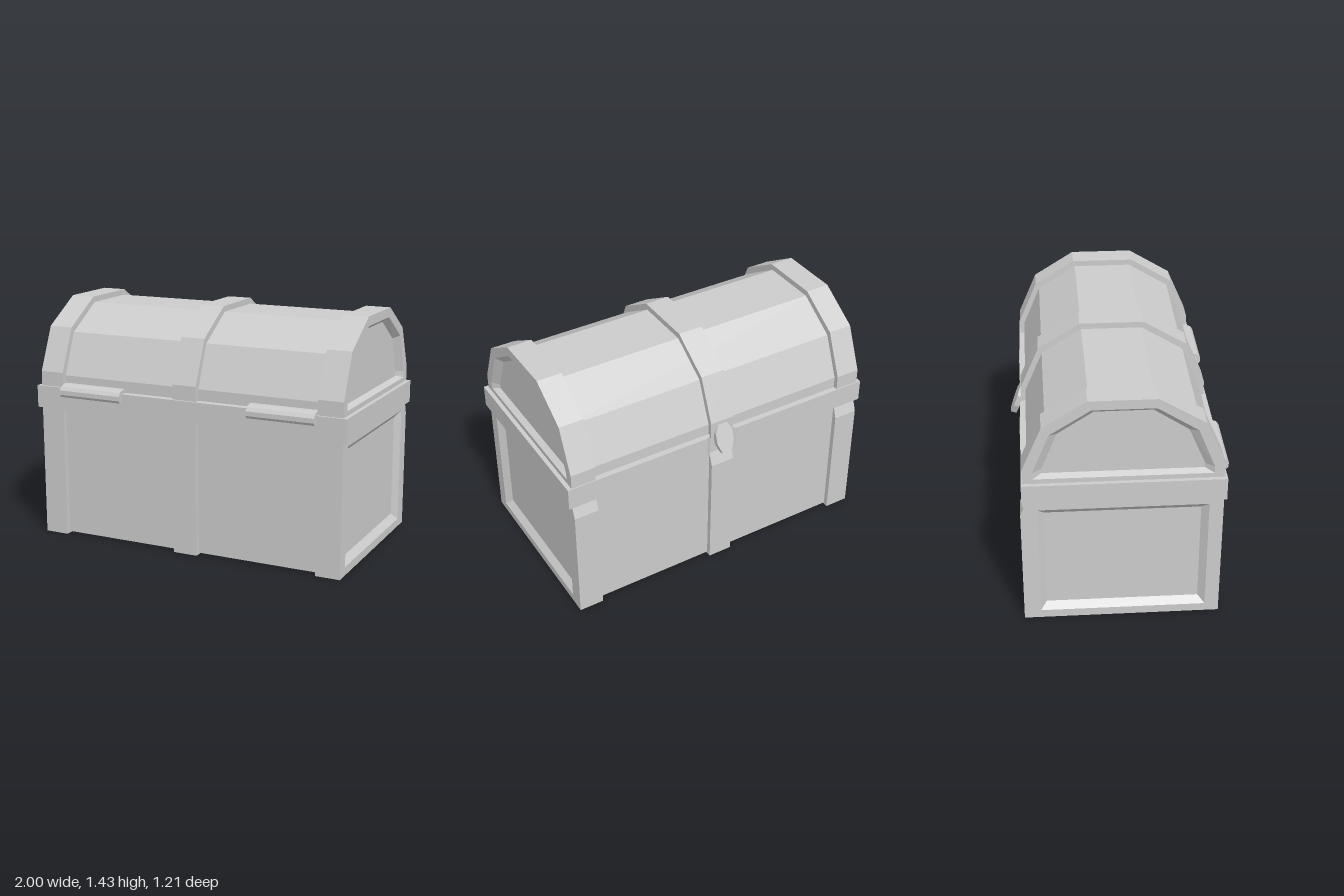
import * as THREE from 'three';

const material = new THREE.MeshStandardMaterial({ color: 0xcccccc, flatShading: true });

// Profiles are lists of [z, y], running from the front bottom over the top to the back bottom.
const BODY_CORE = [[0.535, 0.01], [0.535, 0.8], [-0.53, 0.8], [-0.53, 0.01]];
const BODY_BAND = [[0.565, 0], [0.565, 0.8], [-0.532, 0.8], [-0.56, 0.72], [-0.56, 0]];
const BODY_RECESS = [[0.485, 0.05], [0.485, 0.755], [-0.465, 0.755], [-0.465, 0.05]];
const BODY_PANEL = [[0.445, 0.09], [0.445, 0.715], [-0.43, 0.715], [-0.43, 0.09]];
const LID_CORE = [[0.53, 0.92], [0.53, 1.0], [0.425, 1.25], [0.18, 1.4],
  [-0.175, 1.4], [-0.41, 1.25], [-0.515, 1.0], [-0.515, 0.92]];
const LID_BAND = [[0.563, 0.92], [0.563, 1.02], [0.45, 1.28], [0.193, 1.435],
  [-0.185, 1.435], [-0.432, 1.28], [-0.543, 1.02], [-0.543, 0.92]];
const LID_RECESS = [[0.505, 0.96], [0.505, 1.0], [0.41, 1.235], [0.185, 1.38],
  [-0.165, 1.38], [-0.392, 1.235], [-0.487, 1.0], [-0.487, 0.96]];
const LID_PANEL = [[0.455, 0.977], [0.455, 1.005], [0.363, 1.222], [0.168, 1.352],
  [-0.15, 1.352], [-0.348, 1.222], [-0.435, 1.005], [-0.435, 0.977]];
const END = 0.975;    // outer face of the end bands
const FLOOR = 0.94;   // sunken face of the end panels

function part(parent, name, geometry) {
  const mesh = new THREE.Mesh(geometry, material);
  mesh.name = name;
  parent.add(mesh);
  return mesh;
}

// Extrude a [z, y] profile along x.
function slab(profile, x0, x1, hole) {
  const points = (p) => p.map(([z, y]) => new THREE.Vector2(-z, y));
  const shape = new THREE.Shape(points(profile));
  if (hole) shape.holes.push(new THREE.Path(points(hole)));
  return new THREE.ExtrudeGeometry(shape, { depth: x1 - x0, bevelEnabled: false })
    .translate(0, 0, x0)
    .rotateY(Math.PI / 2);
}

// Sloping walls between the opening of a recess and its floor.
function recessWalls(outer, inner, side) {
  const pos = [];
  const n = outer.length;
  for (let i = 0; i < n; i++) {
    const j = (i + 1) % n;
    const o = (k) => [side * END, outer[k][1], outer[k][0]];
    const p = (k) => [side * FLOOR, inner[k][1], inner[k][0]];
    const quad = [o(i), p(i), p(j), o(i), p(j), o(j)];
    if (side < 0) quad.reverse();
    pos.push(...quad.flat());
  }
  const g = new THREE.BufferGeometry();
  g.setAttribute('position', new THREE.Float32BufferAttribute(pos, 3));
  g.computeVertexNormals();
  return g;
}

// Core with two recessed end bands and a centre band.
function section(name, core, band, recess, panel) {
  const group = new THREE.Group();
  group.name = name;
  part(group, name + 'Core', slab(core, -FLOOR, FLOOR));
  part(group, name + 'CentreBand', slab(band, -0.075, 0.075));
  for (const side of [1, -1]) {
    const label = side > 0 ? 'left' : 'right';
    const [x0, x1] = side > 0 ? [0.825, END] : [-END, -0.825];
    part(group, `${label} ${name} endBand`, slab(band, x0, x1, recess));
    part(group, `${label} ${name} recessWalls`, recessWalls(recess, panel, side));
  }
  return group;
}

export function createModel() {
  const chest = new THREE.Group();
  chest.name = 'chest';
  chest.add(section('body', BODY_CORE, BODY_BAND, BODY_RECESS, BODY_PANEL));
  chest.add(section('lid', LID_CORE, LID_BAND, LID_RECESS, LID_PANEL));

  // Rim, with a shallow notch at the back behind the latch
  const rim = new THREE.Shape([
    [-1, -0.577], [1, -0.577], [1, 0.55], [0.1, 0.55], [0.07, 0.53],
    [-0.07, 0.53], [-0.1, 0.55], [-1, 0.55],
  ].map(([x, y]) => new THREE.Vector2(x, y)));
  part(chest, 'rim', new THREE.ExtrudeGeometry(rim, { depth: 0.135, bevelEnabled: false })
    .rotateX(-Math.PI / 2).translate(0, 0.797, 0));

  // Hinges on the front
  const hinge = [[0.575, 0.88], [0.597, 0.88], [0.607, 0.895], [0.607, 0.922],
    [0.592, 0.943], [0.56, 0.955], [0.525, 0.955], [0.525, 0.93], [0.575, 0.93]].reverse();
  part(chest, 'leftHinge', slab(hinge, 0.41, 0.82));
  part(chest, 'rightHinge', slab(hinge, -0.82, -0.41));

  // Tilted latch plate on the back
  const plate = new THREE.Shape([
    [-0.03, 0], [-0.055, -0.05], [-0.055, -0.12], [-0.03, -0.18],
    [0.03, -0.18], [0.055, -0.12], [0.055, -0.05], [0.03, 0],
  ].map(([x, y]) => new THREE.Vector2(x, y)));
  const latch = part(chest, 'latch',
    new THREE.ExtrudeGeometry(plate, { depth: 0.033, bevelEnabled: false }));
  latch.position.set(0, 1.0, -0.547);
  latch.rotation.x = 0.34;

  return chest;
}
